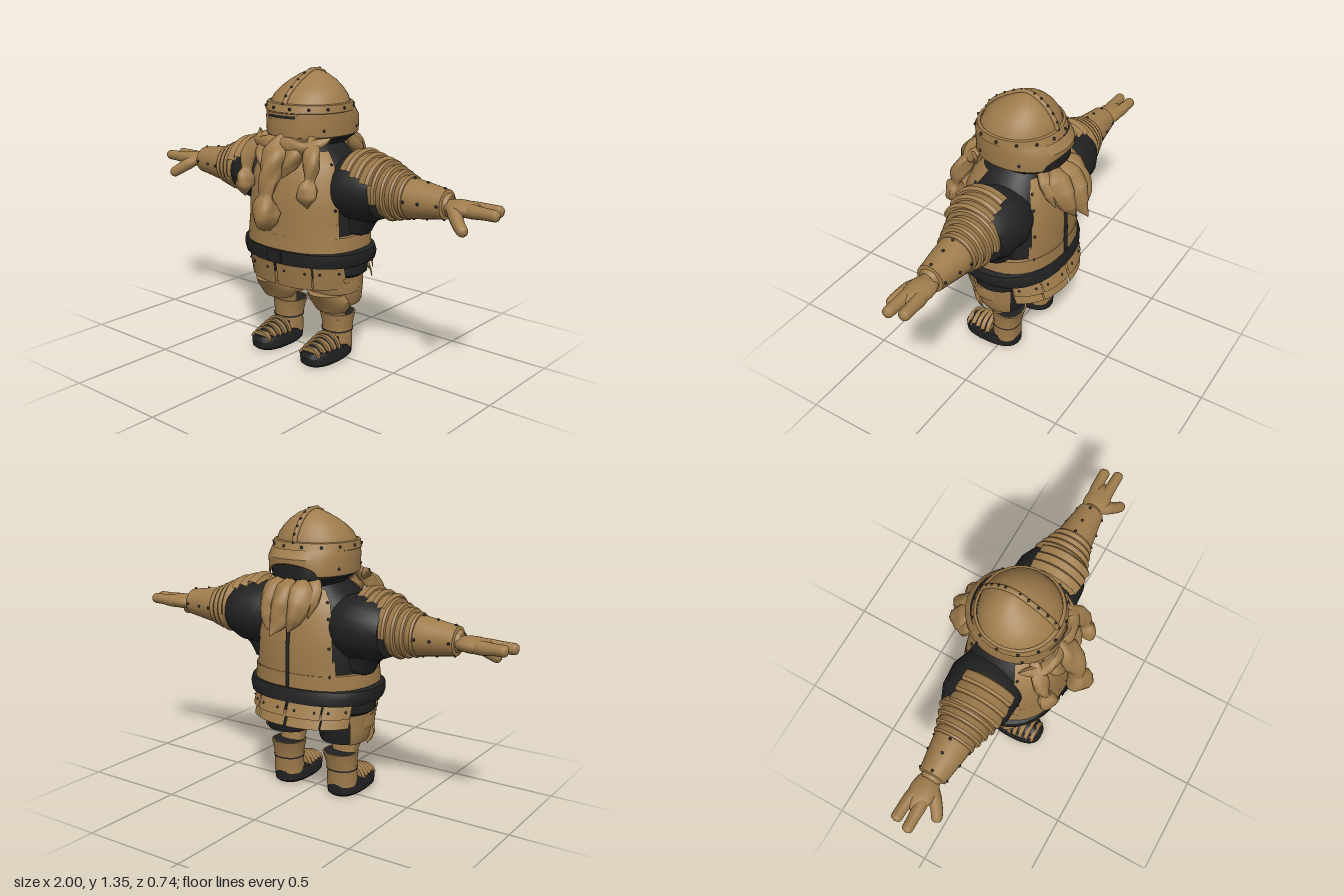
import * as THREE from 'three';
import { mergeGeometries, toCreasedNormals } from 'three/addons/utils/BufferGeometryUtils.js';

const PI = Math.PI;
const bronze = new THREE.MeshStandardMaterial({ color: 0x9f7c4c, side: THREE.DoubleSide });
bronze.name = 'bronze';
const black = new THREE.MeshStandardMaterial({ color: 0x212122, side: THREE.DoubleSide });
black.name = 'black cloth and leather';

// Point on a ring [y, halfWidth, zFront, zBack, cx]; angle 0 is the front, p squares the outline
function ringPoint([y, rx, zf, zb, cx = 0], a, p = 2.3) {
  const pw = v => Math.sign(v) * Math.abs(v) ** (2 / p);
  return new THREE.Vector3(cx + rx * pw(Math.sin(a)), y, (zf + zb) / 2 + (zf - zb) / 2 * pw(Math.cos(a)));
}

// Skin over horizontal rings listed from bottom to top, optionally only part of the way round
function loft(rings, { a0 = -PI, a1 = PI, p = 2.3, seg = 36, cap = false, crease = 0.6 } = {}) {
  const pos = [], idx = [], n = seg + 1;
  if (cap) {
    const flat = r => [r[0], 0.0005, (r[2] + r[3]) / 2, (r[2] + r[3]) / 2, r[4]];
    rings = [flat(rings[0]), ...rings, flat(rings[rings.length - 1])];
  }
  rings.forEach((r, j) => {
    for (let i = 0; i < n; i++) {
      pos.push(...ringPoint(r, a0 + (a1 - a0) * i / seg, p).toArray());
      if (j && i) {
        const d = j * n + i, c = d - 1, b = d - n, a = b - 1;
        idx.push(a, b, d, a, d, c);
      }
    }
  });
  const g = new THREE.BufferGeometry();
  g.setAttribute('position', new THREE.Float32BufferAttribute(pos, 3));
  g.setIndex(idx);
  return toCreasedNormals(g, crease);
}

// Lathe along x from [x, radius] pairs; angle 0 is the front, 1.5 PI the top
function sleeve(profile, cy, cz, a0 = 0, len = 2 * PI, sz = 1) {
  const g = new THREE.LatheGeometry(profile.map(([x, r]) => new THREE.Vector2(r, x)), 28, a0, len);
  g.rotateZ(-PI / 2).scale(1, 1, sz).translate(0, cy, cz);
  return toCreasedNormals(g, 0.6);
}

// Strand through [x, y, z, radius] points with optional twisted grooves
function strand(pts, groove = 0, turns = 0) {
  const curve = new THREE.CatmullRomCurve3(pts.map(q => new THREE.Vector3(q[0], q[1], q[2])));
  const n = 32, m = 15, g = new THREE.TubeGeometry(curve, n, 1, m), P = g.attributes.position;
  const v = new THREE.Vector3();
  for (let j = 0; j <= n; j++) {
    const c = curve.getPointAt(j / n), t = curve.getUtoTmapping(j / n) * (pts.length - 1);
    const k = Math.min(pts.length - 2, Math.floor(t));
    const r = THREE.MathUtils.lerp(pts[k][3], pts[k + 1][3], t - k);
    for (let i = 0; i <= m; i++) {
      const id = j * (m + 1) + i, a = i / m * 2 * PI;
      v.fromBufferAttribute(P, id).sub(c).multiplyScalar(r * (1 + groove * Math.sin(3 * a + turns * j / n)));
      P.setXYZ(id, c.x + v.x, c.y + v.y, c.z + v.z);
    }
  }
  g.computeVertexNormals();
  return g;
}

function rivets(points, r = 0.007) {
  return mergeGeometries(points.map(q => new THREE.SphereGeometry(r, 7, 5).translate(q.x, q.y, q.z)));
}

function mirrored(g) {
  const m = (g.index ? g.toNonIndexed() : g.clone()).scale(-1, 1, 1);
  for (const at of Object.values(m.attributes)) {
    const s = at.itemSize, a = at.array;
    for (let i = 0; i < a.length; i += 3 * s)
      for (let k = 0; k < s; k++) [a[i + s + k], a[i + 2 * s + k]] = [a[i + 2 * s + k], a[i + s + k]];
  }
  return m;
}

export function createModel() {
  const model = new THREE.Group();
  model.name = 'armouredWarrior';
  const add = (name, g, mat = bronze) => {
    const m = new THREE.Mesh(g, mat);
    m.name = name;
    model.add(m);
  };
  const pair = (name, g, mat) => { add(name + 'Left', g, mat); add(name + 'Right', mirrored(g), mat); };

  // Torso: black tunic under a front and a back plate
  const body = [[0.5, 0.28, 0.235, -0.22], [0.62, 0.28, 0.235, -0.225], [0.75, 0.277, 0.235, -0.228],
    [0.88, 0.258, 0.22, -0.21], [0.95, 0.23, 0.19, -0.185], [1.0, 0.17, 0.14, -0.15], [1.05, 0.12, 0.1, -0.12]];
  add('tunic', loft(body, { cap: true }), black);
  const grow = (r, d) => [r[0], r[1] + d, r[2] + d, r[3] - d];
  const plate = body.slice(1, 6).map(r => grow(r, 0.01));
  add('breastplate', loft(plate, { a0: -1.15, a1: 1.15 }));
  add('backplate', loft(plate, { a0: PI - 0.74, a1: PI + 0.74 }));
  // Overlapping waist hoops
  [[0.555, 0.622, 0.018], [0.61, 0.685, 0.013]].forEach(([y0, y1, d], i) => {
    const hoop = [[y0, 0.284 + d, 0.235 + d, -0.222 - d], [y1, 0.277 + d, 0.23 + d, -0.22 - d], [y1 + 0.004, 0.272, 0.225, -0.215]];
    const spans = i ? [[-1.15, 1.15], [PI - 0.78, PI + 0.78]] : [[-PI, PI]];
    spans.forEach(([a0, a1]) => add('waistHoop', loft(hoop, { a0, a1 })));
  });
  add('backSeam', strand([[0, 0.56, -0.243, 0.009], [0, 0.75, -0.238, 0.009], [0, 0.88, -0.22, 0.009], [0, 1.0, -0.16, 0.009]]), black);
  const edge = [];
  for (const a of [-1.08, 1.08, PI - 0.68, PI + 0.68]) for (const r of plate.slice(0, 4)) edge.push(ringPoint(r, a));
  add('plateRivets', rivets(edge), black);

  // Belt and buckle
  add('belt', loft([[0.482, 0.3, 0.235, -0.225], [0.487, 0.322, 0.248, -0.25], [0.52, 0.333, 0.252, -0.247],
    [0.55, 0.328, 0.25, -0.235], [0.56, 0.29, 0.23, -0.22]]), black);
  add('buckle', new THREE.BoxGeometry(0.08, 0.06, 0.016).translate(0, 0.522, 0.25), black);

  // Skirt: black lining, with two layers of tassets in front and behind
  add('skirtLining', loft([[0.42, 0.285, 0.18, -0.19], [0.435, 0.306, 0.19, -0.2], [0.49, 0.308, 0.2, -0.21]], { p: 2 }), black);
  add('trousers', loft([[0.36, 0.2, 0.1, -0.13], [0.39, 0.25, 0.14, -0.17], [0.425, 0.265, 0.18, -0.19], [0.5, 0.28, 0.22, -0.21]], { cap: true, p: 2 }), black);
  const bolts = [];
  [[0.378, 0.435, 0], [0.425, 0.486, 0.007]].forEach(([y0, y1, d], layer) => {
    const rows = [[y0, 0.288 + d, 0.234 + d, -0.27], [y1, 0.288 + d, 0.242 + d, -0.245], [y1 + 0.003, 0.275, 0.225, -0.225]];
    for (const c of [0, PI]) for (let k = -2; k < 2; k++) {
      const w = c ? 0.57 : 0.63, a0 = c + k * w + 0.012, a1 = c + (k + 1) * w - 0.012;
      add('tasset', loft(rows, { a0, a1, seg: 8 }));
      const mid = rows[0].map((v, i) => (v + rows[1][i]) / 2);
      if (layer) for (const t of [0.2, 0.8]) bolts.push(ringPoint(mid, a0 + (a1 - a0) * t));
    }
  });
  add('tassetRivets', rivets(bolts, 0.006), black);

  // Legs: black thigh behind a plate over the front and outside, knee guard, greave, boot cuff
  const thigh = [[0.275, 0.108, 0.1, -0.115, 0.155], [0.29, 0.116, 0.11, -0.12, 0.155], [0.34, 0.123, 0.125, -0.128, 0.153],
    [0.43, 0.13, 0.14, -0.135, 0.148]];
  pair('thigh', loft(thigh.map(r => [...grow(r, -0.006), r[4]]), { cap: true }), black);
  pair('thighPlate', loft(thigh, { a0: -1.7, a1: 2.35 }));
  pair('thighBand', loft([[0.345, 0.128, 0.135, -0.1, 0.155], [0.36, 0.13, 0.14, -0.1, 0.155], [0.4, 0.127, 0.15, -0.1, 0.152]], { a0: -1.5, a1: 1.9 }));
  pair('kneeGuard', loft([[0.245, 0.085, 0.105, -0.02, 0.165], [0.275, 0.11, 0.12, -0.03, 0.165], [0.305, 0.118, 0.14, -0.03, 0.165],
    [0.34, 0.1, 0.168, -0.03, 0.165], [0.35, 0.05, 0.12, -0.02, 0.165]], { a0: -1.6, a1: 1.6, p: 1.7 }));
  pair('shin', loft([[0.06, 0.06, 0.045, -0.05, 0.155], [0.2, 0.062, 0.042, -0.03, 0.152], [0.25, 0.072, 0.06, -0.025, 0.155],
    [0.28, 0.08, 0.08, -0.06, 0.155]], { cap: true }));
  pair('bootCuff', loft([[0.05, 0.074, 0.05, -0.082, 0.155], [0.12, 0.07, 0.045, -0.082, 0.155], [0.17, 0.074, 0.048, -0.092, 0.153],
    [0.215, 0.083, 0.054, -0.105, 0.15], [0.216, 0.076, 0.048, -0.098, 0.15]]));
  pair('ankleStrap', loft([[0.127, 0.073, 0.051, -0.087, 0.155], [0.135, 0.074, 0.051, -0.088, 0.155]]), black);
  pair('bootLining', loft([[0.205, 0.078, 0.048, -0.099, 0.151], [0.211, 0.079, 0.048, -0.099, 0.151]], { cap: true }), black);
  pair('greaveRivets', rivets([0.105, 0.195].flatMap(y => [-0.045, 0.045].map(x => new THREE.Vector3(0.155 + x, y, 0.034))), 0.006), black);
  pair('kneeRivets', rivets([-0.06, 0.06].map(x => new THREE.Vector3(0.165 + x, 0.3, 0.095)), 0.008), black);

  // Boots: black shoe and toe with stepped plates over it
  pair('boot', loft([[0, 0.07, 0.195, -0.07, 0.155], [0.012, 0.082, 0.21, -0.083, 0.155], [0.045, 0.085, 0.213, -0.085, 0.155],
    [0.068, 0.077, 0.2, -0.081, 0.155], [0.075, 0.05, 0.16, -0.05, 0.155]], { cap: true, p: 2.5 }), black);
  const toe = new THREE.CylinderGeometry(0.5, 1, 0.14, 20, 1, false, PI / 2, PI).rotateX(PI / 2);
  pair('toeLeather', toCreasedNormals(toe.scale(0.077, 0.077, 1).translate(0.155, 0.05, 0.115), 0.6), black);
  for (let i = 0; i < 5; i++) {
    const lame = new THREE.CylinderGeometry(1, 0.95, 0.021, 20, 1, false, PI / 2, PI).rotateX(PI / 2);
    lame.scale(0.08 - i * i * 0.0012, 0.085 - i * 0.011, 1).translate(0.155, 0.05, 0.055 + i * 0.031);
    pair('toePlate', toCreasedNormals(lame, 0.6));
  }

  // Arms: black shoulder, stacked lames, forearm guard
  pair('shoulder', sleeve([[0.16, 0.001], [0.18, 0.13], [0.25, 0.153], [0.36, 0.146], [0.42, 0.122], [0.43, 0.001]], 0.836, -0.03, 0, 2 * PI, 1.14), black);
  pair('armpitCloth', strand([[0.23, 0.6, -0.03, 0.03], [0.245, 0.65, -0.03, 0.08], [0.29, 0.745, -0.03, 0.095], [0.39, 0.81, -0.03, 0.08]]), black);
  for (let i = 0; i < 3; i++) {
    const x = 0.268 + i * 0.05, r = 0.168 - i * 0.013;
    pair('pauldronPlate', sleeve([[x, r - 0.02], [x + 0.012, r + 0.002], [x + 0.05, r + 0.01], [x + 0.062, r - 0.002], [x + 0.064, r - 0.02]],
      0.844, -0.01, (1.31 - i * 0.03) * PI, (0.5 + i * 0.07) * PI));
  }
  for (let i = 0; i < 4; i++) {
    const x = 0.405 + i * 0.038, r = 0.14 - i * 0.013;
    pair('armLame', sleeve([[x, r - 0.03], [x + 0.002, r - 0.008], [x + 0.034, r], [x + 0.044, r - 0.006], [x + 0.046, r - 0.03]], 0.844 - i * 0.004, -0.025,
      i ? 0 : 0.95 * PI, i ? 2 * PI : 1.15 * PI));
  }
  pair('forearmGuard', sleeve([[0.42, 0.09], [0.55, 0.092], [0.62, 0.083], [0.7, 0.07], [0.738, 0.065], [0.742, 0.05], [0.76, 0.04]], 0.83, -0.025));
  pair('armRivets', rivets([[0.572, 0.09], [0.64, 0.08], [0.725, 0.067]].flatMap(([x, r]) => [0, PI / 2, PI, 1.5 * PI].map(a =>
    new THREE.Vector3(x, 0.83 + r * Math.sin(a), -0.025 + r * Math.cos(a)))), 0.007), black);

  // Hands: palm, two broad fingers and a thumb
  pair('palm', new THREE.SphereGeometry(1, 20, 12).scale(0.1, 0.036, 0.062).translate(0.81, 0.825, -0.028));
  pair('rearFinger', strand([[0.78, 0.825, -0.045, 0.03], [0.86, 0.825, -0.06, 0.031], [0.92, 0.828, -0.066, 0.026], [0.966, 0.828, -0.067, 0.026], [0.977, 0.828, -0.067, 0.018], [0.981, 0.828, -0.067, 0.001]]));
  pair('frontFinger', strand([[0.78, 0.825, -0.012, 0.03], [0.87, 0.825, -0.006, 0.031], [0.93, 0.826, -0.003, 0.026], [0.984, 0.826, -0.002, 0.025], [0.996, 0.826, -0.002, 0.018], [1.0, 0.826, -0.002, 0.001]]));
  pair('thumb', strand([[0.76, 0.83, -0.005, 0.02], [0.81, 0.805, 0.03, 0.03], [0.85, 0.775, 0.06, 0.027], [0.876, 0.757, 0.074, 0.025], [0.888, 0.75, 0.08, 0.016], [0.891, 0.748, 0.082, 0.001]]));

  // Helmet: open skirt arched over the hair, brow band, pointed dome and crest strip
  const dome = [[1.2, 0.188, 0.178, -0.18], [1.235, 0.174, 0.16, -0.172], [1.27, 0.145, 0.122, -0.15],
    [1.3, 0.11, 0.078, -0.125], [1.325, 0.072, 0.032, -0.092], [1.34, 0.036, 0, -0.06], [1.347, 0.001, -0.027, -0.029]];
  add('helmetDome', loft(dome, { p: 2, crease: 1 }));
  const skirt = loft([[1.06, 0.19, 0.185, -0.235], [1.065, 0.2, 0.202, -0.24], [1.14, 0.202, 0.204, -0.24], [1.178, 0.197, 0.198, -0.21]], { p: 2.1, seg: 72 });
  const S = skirt.attributes.position;
  for (let i = 0; i < S.count; i++) {
    const x = S.getX(i) / 0.13;
    if (S.getZ(i) < 0 && S.getY(i) < 1.1 && Math.abs(x) < 1) S.setY(i, S.getY(i) + 0.055 * Math.sqrt(1 - x * x));
  }
  add('helmetSkirt', skirt);
  const rim = [1.19, 0.201, 0.201, -0.199];
  add('browBand', loft([[1.17, 0.198, 0.198, -0.2], [1.173, 0.203, 0.203, -0.205], [1.207, 0.197, 0.19, -0.19], [1.21, 0.186, 0.175, -0.178]], { p: 2.1 }));
  add('head', loft([[0.99, 0.11, 0.1, -0.13], [1.05, 0.175, 0.165, -0.222], [1.13, 0.185, 0.18, -0.225], [1.16, 0.185, 0.18, -0.205]], { cap: true }), black);
  add('faceGuard', loft([[1.02, 0.135, 0.18, -0.1], [1.065, 0.18, 0.195, -0.17]], { a0: -1.8, a1: 1.8 }));
  add('eyeSlitFrame', loft([[1.138, 0.205, 0.207, -0.24], [1.17, 0.205, 0.207, -0.22]], { p: 2.1, a0: -0.42, a1: 0.42 }));
  add('eyeSlit', loft([[1.148, 0.206, 0.209, -0.24], [1.161, 0.206, 0.209, -0.22]], { p: 2.1, a0: -0.37, a1: 0.37 }), black);
  const crestLine = [...dome.slice(0, -1).map(r => [0, r[0], r[2], 0.012]), ...dome.slice(0, -1).reverse().map(r => [0, r[0], r[3], 0.012])];
  add('crestStrip', strand(crestLine));
  const studs = [];
  for (let i = 0; i < 14; i++) studs.push(ringPoint(rim, (i + 0.5) * PI / 7, 2.1));
  for (const a of [-1.0, 1.0, 1.95, -1.95]) studs.push(ringPoint([1.095, 0.2, 0.202, -0.24], a, 2.1));
  crestLine.forEach(([x, y, z]) => studs.push(new THREE.Vector3(x, y + 0.007, z + Math.sign(z) * 0.007)));
  add('helmetRivets', rivets(studs), black);

  // Beard: moustache, central braid and side braids, each ending in a tuft
  pair('moustache', strand([[0, 1.045, 0.2, 0.02], [0.06, 1.035, 0.21, 0.03], [0.13, 1.025, 0.19, 0.03], [0.18, 1.045, 0.14, 0.022], [0.215, 1.07, 0.11, 0.002]], 0.12, 9));
  add('centreBraid', strand([[0, 1.06, 0.17, 0.03], [0, 0.99, 0.225, 0.06], [0, 0.93, 0.265, 0.055], [0, 0.87, 0.29, 0.042], [0, 0.81, 0.3, 0.03],
    [0, 0.77, 0.308, 0.052], [0, 0.72, 0.308, 0.064], [0, 0.68, 0.295, 0.045], [0, 0.645, 0.28, 0.002]], 0.14, 14));
  pair('beardCurl', strand([[0.05, 1.05, 0.16, 0.03], [0.085, 0.99, 0.21, 0.042], [0.07, 0.94, 0.235, 0.03], [0.05, 0.89, 0.25, 0.002]], 0.14, 8));
  pair('sideBraid', strand([[0.13, 1.06, 0.14, 0.02], [0.175, 1.0, 0.19, 0.038], [0.19, 0.95, 0.215, 0.036], [0.19, 0.895, 0.23, 0.022],
    [0.19, 0.865, 0.24, 0.042], [0.19, 0.82, 0.245, 0.044], [0.19, 0.77, 0.24, 0.002]], 0.14, 10));

  // Hair falling behind the helmet
  add('hairMiddle', strand([[0, 1.045, -0.2, 0.02], [0, 1.0, -0.235, 0.055], [0, 0.93, -0.275, 0.06], [0, 0.87, -0.31, 0.042], [0.01, 0.815, -0.358, 0.002]], 0.14, 5));
  pair('hairLock', strand([[0.05, 1.045, -0.19, 0.02], [0.07, 1.0, -0.225, 0.052], [0.075, 0.94, -0.26, 0.052], [0.065, 0.88, -0.29, 0.036], [0.055, 0.83, -0.315, 0.002]], 0.14, 5));
  pair('outerHairLock', strand([[0.1, 1.045, -0.16, 0.025], [0.115, 1.0, -0.195, 0.034], [0.12, 0.95, -0.225, 0.028], [0.12, 0.89, -0.25, 0.002]], 0.14, 5));
  return model;
}
